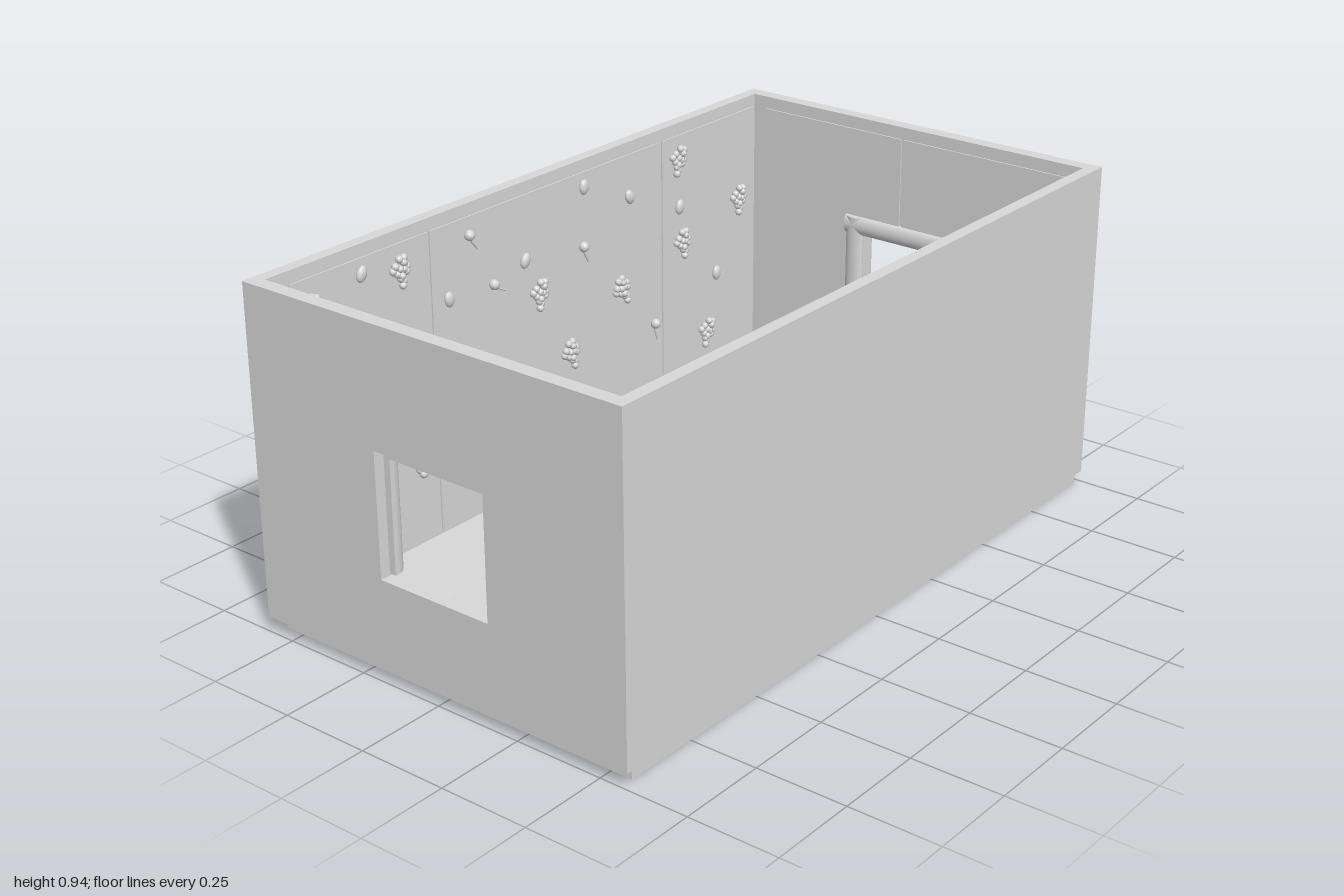
import * as THREE from 'three';

export function createModel() {
  const model = new THREE.Group();
  model.name = 'openRoom';
  const grey = new THREE.MeshStandardMaterial({ color: 0xd8d8d8 });
  grey.name = 'light grey';

  const add = (parent, name, geometry, x = 0, y = 0, z = 0) => {
    const mesh = new THREE.Mesh(geometry, grey);
    mesh.name = name;
    mesh.position.set(x, y, z);
    parent.add(mesh);
    return mesh;
  };
  // Box given by its minimum and maximum corners
  const box = (name, x0, x1, y0, y1, z0, z1) => add(model, name,
    new THREE.BoxGeometry(x1 - x0, y1 - y0, z1 - z0), (x0 + x1) / 2, (y0 + y1) / 2, (z0 + z1) / 2);

  // Floor slab, with its stepped edge, and the two floor plates
  box('floorBase', -0.96, 0.98, 0, 0.042, -0.56, 0.56);
  box('floor', -0.97, 0.95, 0.041, 0.05, -0.56, 0.56);
  box('leftFloorPlate', 0.46, 0.94, 0.05, 0.065, -0.22, 0.22);
  box('rightFloorPlate', -0.93, -0.29, 0.05, 0.065, -0.18, 0.18);

  // Long walls with raised panels separated by grooves
  for (const s of [-1, 1]) {
    const wall = s < 0 ? 'back' : 'front';
    const [a, b] = [s * 0.58, s * 0.545].sort((p, q) => p - q);
    box(wall + 'Wall', -1, 0.98, 0.042, 0.935, a, b);
    const [c, d] = [s * 0.546, s * 0.541].sort((p, q) => p - q);
    const seams = s < 0 ? [-0.955, -0.895, -0.42, 0.505, 0.935] : [-0.955, -0.455, 0.468, 0.9, 0.935];
    for (let i = 0; i < 4; i++) {
      box(wall + 'Panel', seams[i] + 0.004, seams[i + 1] - 0.004, 0.06, 0.9, c, d);
    }
  }

  // End walls with a window opening; shape x becomes -z
  const rect = (T, x0, x1, y0, y1) => {
    const r = new T();
    r.moveTo(x0, y0);
    r.lineTo(x1, y0);
    r.lineTo(x1, y1);
    r.lineTo(x0, y1);
    r.closePath();
    return r;
  };
  const endWall = (name, x, thickness, half, y0, y1) => {
    const shape = rect(THREE.Shape, -0.55, 0.55, 0.042, 0.935);
    shape.holes.push(rect(THREE.Path, -half, half, y0, y1));
    const geometry = new THREE.ExtrudeGeometry(shape, { depth: thickness, bevelEnabled: false });
    add(model, name, geometry.rotateY(Math.PI / 2), x);
  };
  endWall('leftWall', 0.94, 0.04, 0.15, 0.29, 0.59);
  endWall('rightWall', -1, 0.04, 0.17, 0.28, 0.615);

  // Narrow panels on the end walls, beside, above and below the windows
  for (const [x0, x1, seam] of [[-0.961, -0.956, 0.03], [0.936, 0.941, -0.025]]) {
    for (const s of [-1, 1]) {
      const panel = (y0, y1, a, b) => box('endPanel', x0, x1, y0, y1, Math.min(a, b), Math.max(a, b));
      panel(0.06, 0.9, s * 0.175, s * 0.5);
      panel(0.62, 0.9, seam + s * 0.004, s * 0.175);
      panel(0.06, 0.28, seam + s * 0.004, s * 0.175);
    }
  }

  // Half-round window trim: a lintel and two jambs bulging along dir
  const trim = (name, x, dir, depth) => {
    const group = new THREE.Group();
    group.name = name;
    const bar = (part, length, y, z, lying) => {
      const g = new THREE.CylinderGeometry(1, 1, length, 16, 1, false, 0, Math.PI);
      g.scale(depth, 1, 0.029);
      if (dir < 0) g.rotateY(Math.PI);
      if (lying) g.rotateX(Math.PI / 2);
      add(group, part, g, x, y, z);
    };
    bar('lintel', 0.418, 0.616, 0, true);
    for (const s of [-1, 1]) bar('jamb', 0.355, 0.4625, s * 0.18, false);
    model.add(group);
  };
  trim('outerWindowTrim', 0.98, 1, 0.02);
  trim('innerLeftWindowTrim', 0.942, -1, 0.018);
  trim('innerRightWindowTrim', -0.962, 1, 0.037);

  // Solid backs that carry the trim inside the wider right opening
  for (const s of [-1, 1]) box('jambBack', -0.97, -0.958, 0.285, 0.64, s * 0.18 - 0.029, s * 0.18 + 0.029);
  box('lintelBack', -0.97, -0.958, 0.588, 0.645, -0.209, 0.209);

  // Wall ornaments face +z before they are placed
  const berry = new THREE.SphereGeometry(0.0105, 8, 6);
  const leaf = new THREE.SphereGeometry(0.02, 10, 8).scale(0.8, 1.1, 0.5);
  const bud = new THREE.SphereGeometry(0.015, 8, 6);
  const stem = new THREE.CylinderGeometry(0.003, 0.003, 0.045, 6);
  const makers = {
    cluster(g) {
      [2, 3, 4, 3, 2, 1].forEach((count, row) => {
        for (let i = 0; i < count; i++) {
          const x = (i - (count - 1) / 2) * 0.015;
          const wobble = Math.sin(row * 5 + i * 3) * 0.004;
          add(g, 'berry', berry, x + wobble, 0.034 - row * 0.014 + wobble, 0.015 - Math.abs(x) * 0.4);
        }
      });
    },
    leaf(g) {
      add(g, 'leaf', leaf, 0, 0, 0.005);
    },
    sprig(g) {
      add(g, 'bud', bud, 0, 0.012, 0.008);
      add(g, 'stem', stem, 0.014, -0.014, 0.006).rotation.z = 0.7;
    },
  };
  const ornament = (kind, x, y, z, turn, tilt) => {
    const g = new THREE.Group();
    g.name = kind;
    makers[kind](g);
    g.position.set(x, y, z);
    g.rotation.set(0, turn, tilt, 'YXZ');
    model.add(g);
  };

  // Long walls share one pattern, turned by half a circle
  const longPattern = {
    cluster: [[-0.84, 0.82], [-0.53, 0.83], [-0.27, 0.45], [-0.02, 0.61], [0.1, 0.4],
      [0.57, 0.83], [0.59, 0.58], [0.32, 0.52], [0.85, 0.64], [-0.8, 0.28], [0.7, 0.27]],
    leaf: [[-0.66, 0.86], [-0.8, 0.72], [-0.57, 0.46], [-0.58, 0.58], [-0.36, 0.7], [-0.07, 0.72],
      [0.17, 0.86], [0.36, 0.78], [0.58, 0.69], [-0.4, 0.25], [0.2, 0.2], [0.75, 0.44]],
    sprig: [[-0.74, 0.61], [-0.28, 0.84], [-0.19, 0.68], [0.16, 0.68], [-0.68, 0.3], [0.46, 0.36]],
  };
  for (const kind in longPattern) {
    longPattern[kind].forEach(([x, y], i) => {
      const tilt = ((i * 7) % 5 - 2) * 0.2;
      ornament(kind, x, y, -0.541, 0, tilt);
      ornament(kind, -x, y, 0.541, Math.PI, tilt);
    });
  }

  // Right end wall pattern, as z and y
  const endPattern = {
    cluster: [[0.16, 0.82], [-0.35, 0.61], [-0.45, 0.4], [-0.08, 0.6], [0.45, 0.55], [0.32, 0.3]],
    leaf: [[0.31, 0.73], [-0.29, 0.74], [-0.49, 0.78], [0.38, 0.85], [0.1, 0.2]],
    sprig: [[-0.07, 0.84], [-0.17, 0.7], [0.29, 0.5], [-0.25, 0.24]],
  };
  for (const kind in endPattern) {
    endPattern[kind].forEach(([z, y], i) => ornament(kind, -0.957, y, z, Math.PI / 2, (i % 3 - 1) * 0.3));
  }
  return model;
}
